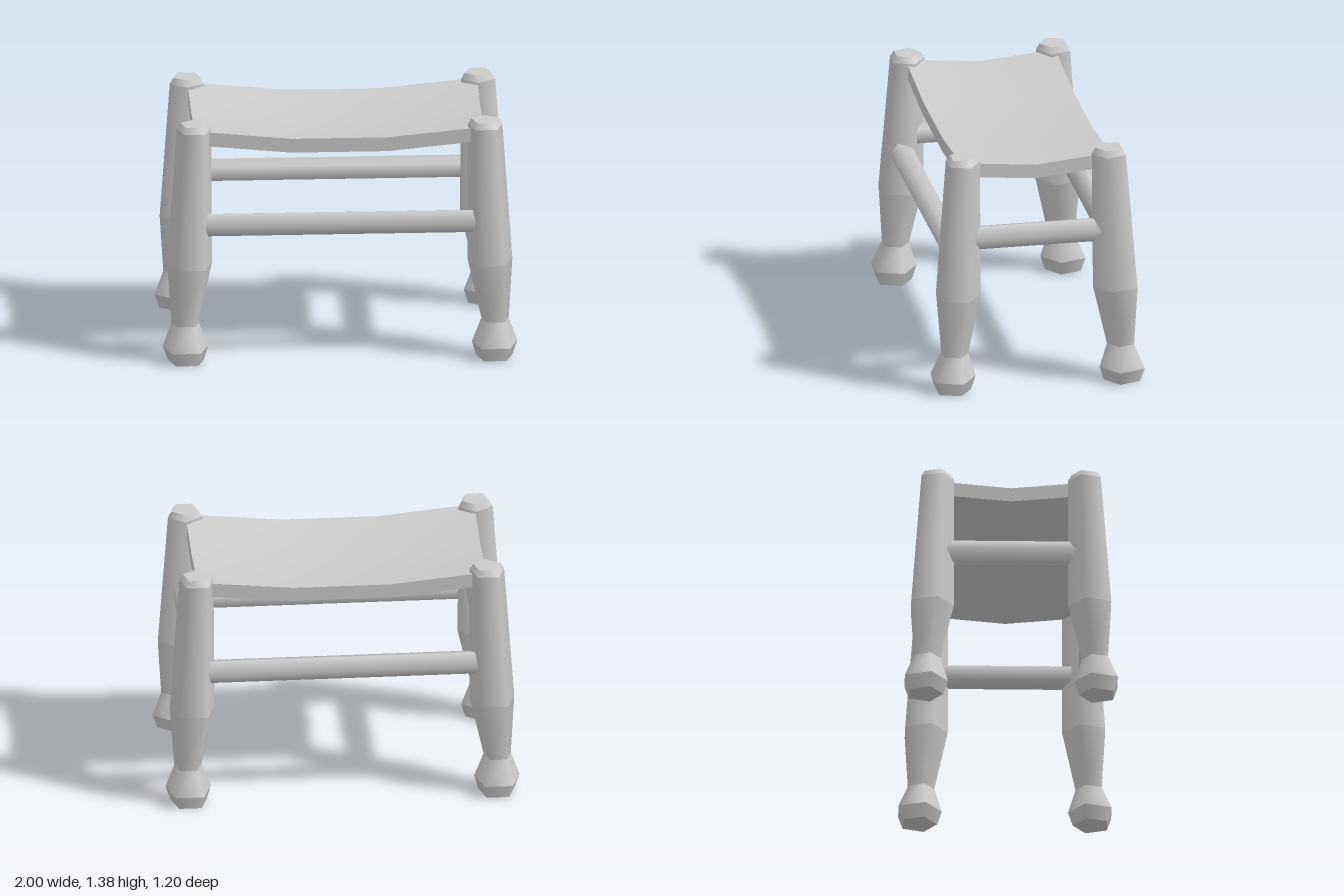
import * as THREE from 'three';
import { mergeGeometries } from 'three/addons/utils/BufferGeometryUtils.js';

const SIDES = 5;
const material = new THREE.MeshStandardMaterial({ color: 0xcccccc });

// Leg rings from floor to top: height, radius, centre x, centre z
const LEG_RINGS = [
  [0, 0.107, 0.868, 0.488],
  [0.08, 0.135, 0.871, 0.49],
  [0.22, 0.081, 0.873, 0.478],
  [0.56, 0.133, 0.846, 0.455],
  [1.35, 0.102, 0.82, 0.422],
  [1.385, 0.08, 0.82, 0.42],
];

function addMesh(parent, name, geometry) {
  const mesh = new THREE.Mesh(geometry, material);
  mesh.name = name;
  parent.add(mesh);
  return mesh;
}

// Turned five-sided leg: stacked frustums sheared along the splayed axis
function legGeometry(sx, sz) {
  const parts = [];
  for (let i = 0; i < LEG_RINGS.length - 1; i++) {
    const [y0, r0, x0, z0] = LEG_RINGS[i];
    const [y1, r1, x1, z1] = LEG_RINGS[i + 1];
    const capped = i === 0 || i === LEG_RINGS.length - 2;
    const g = new THREE.CylinderGeometry(r1, r0, y1 - y0, SIDES, 1, !capped);
    if (sz > 0) g.rotateY(Math.PI); // pentagon point faces inward
    g.translate(0, (y0 + y1) / 2, 0);
    const p = g.attributes.position;
    for (let v = 0; v < p.count; v++) {
      const t = (p.getY(v) - y0) / (y1 - y0);
      p.setX(v, p.getX(v) + sx * (x0 + (x1 - x0) * t));
      p.setZ(v, p.getZ(v) + sz * (z0 + (z1 - z0) * t));
    }
    parts.push(g);
  }
  return mergeGeometries(parts);
}

// Sagging seat: a 3 x 2 grid slab whose rim is raised above the middle
function seatGeometry() {
  const g = new THREE.BoxGeometry(1.63, 0.082, 0.86, 3, 1, 2);
  const p = g.attributes.position;
  for (let v = 0; v < p.count; v++) {
    const endLift = Math.abs(p.getX(v)) > 0.5 ? 0.053 : 0;
    const sideLift = Math.abs(p.getZ(v)) > 0.2 ? 0.04 : 0;
    p.setY(v, p.getY(v) + 1.211 + endLift + sideLift);
  }
  g.computeVertexNormals();
  return g;
}

export function createModel() {
  const stool = new THREE.Group();
  stool.name = 'stool';

  // Four legs
  for (const [sx, sideName] of [[1, 'Left'], [-1, 'Right']]) {
    for (const [sz, endName] of [[1, 'front'], [-1, 'back']]) {
      addMesh(stool, `${endName}${sideName}Leg`, legGeometry(sx, sz));
    }
  }

  // Rails, each with a pentagon point facing outward
  for (const s of [1, -1]) {
    const long = new THREE.CylinderGeometry(0.069, 0.069, 1.62, SIDES);
    if (s < 0) long.rotateY(Math.PI);
    long.rotateZ(Math.PI / 2);
    addMesh(stool, s > 0 ? 'frontRail' : 'backRail', long).position.set(0, 0.805, s * 0.462);

    const short = new THREE.CylinderGeometry(0.071, 0.071, 0.84, SIDES);
    short.rotateY(s * Math.PI / 2);
    short.rotateX(Math.PI / 2);
    addMesh(stool, s > 0 ? 'leftRail' : 'rightRail', short).position.set(s * 0.821, 0.897, 0);
  }

  addMesh(stool, 'seat', seatGeometry());
  return stool;
}
